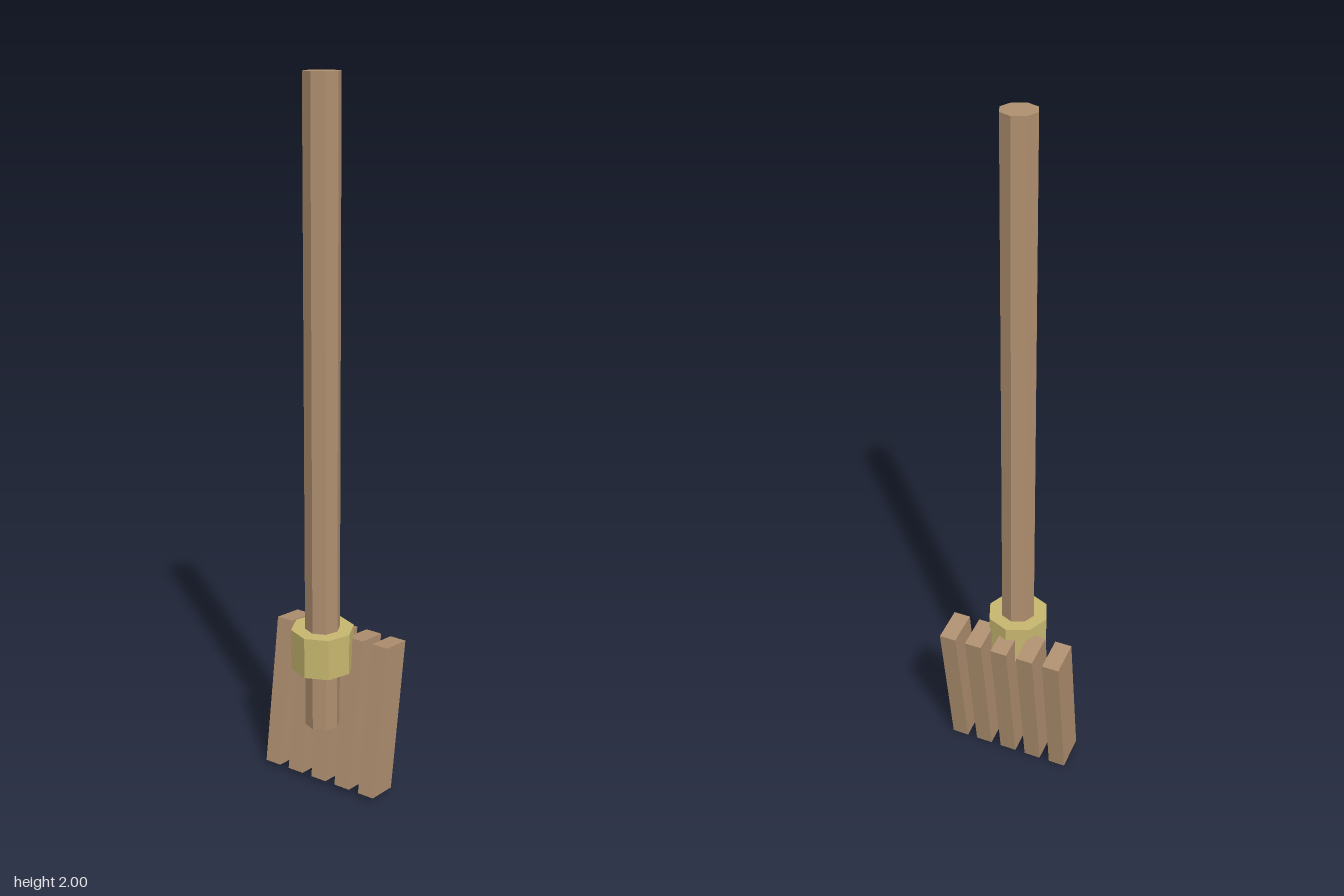
import * as THREE from 'three';

export function createModel() {
  const wood = new THREE.MeshStandardMaterial({ color: 0xb09070, flatShading: true });
  wood.name = 'wood';
  const straw = new THREE.MeshStandardMaterial({ color: 0xc8b870, flatShading: true });
  straw.name = 'straw binding';

  const model = new THREE.Group();
  const add = (name, geometry, material, x, y, z) => {
    const mesh = new THREE.Mesh(geometry, material);
    mesh.name = name;
    mesh.position.set(x, y, z);
    model.add(mesh);
    return mesh;
  };

  // Octagonal handle, and the collar around its lower end
  const handleZ = 0.025;
  add('handle', new THREE.CylinderGeometry(0.05, 0.05, 1.81, 8), wood, 0, 1.095, handleZ);
  add('collar', new THREE.CylinderGeometry(0.09, 0.09, 0.12, 8), straw, 0, 0.43, handleZ);

  // Five slats side by side, leaning back at the top
  const slat = new THREE.BoxGeometry(0.05, 0.447, 0.1);
  for (let i = -2; i <= 2; i++) {
    add('slat' + (i + 3), slat, wood, i * 0.081, 0.2285, -0.035).rotation.x = -0.15;
  }
  return model;
}
